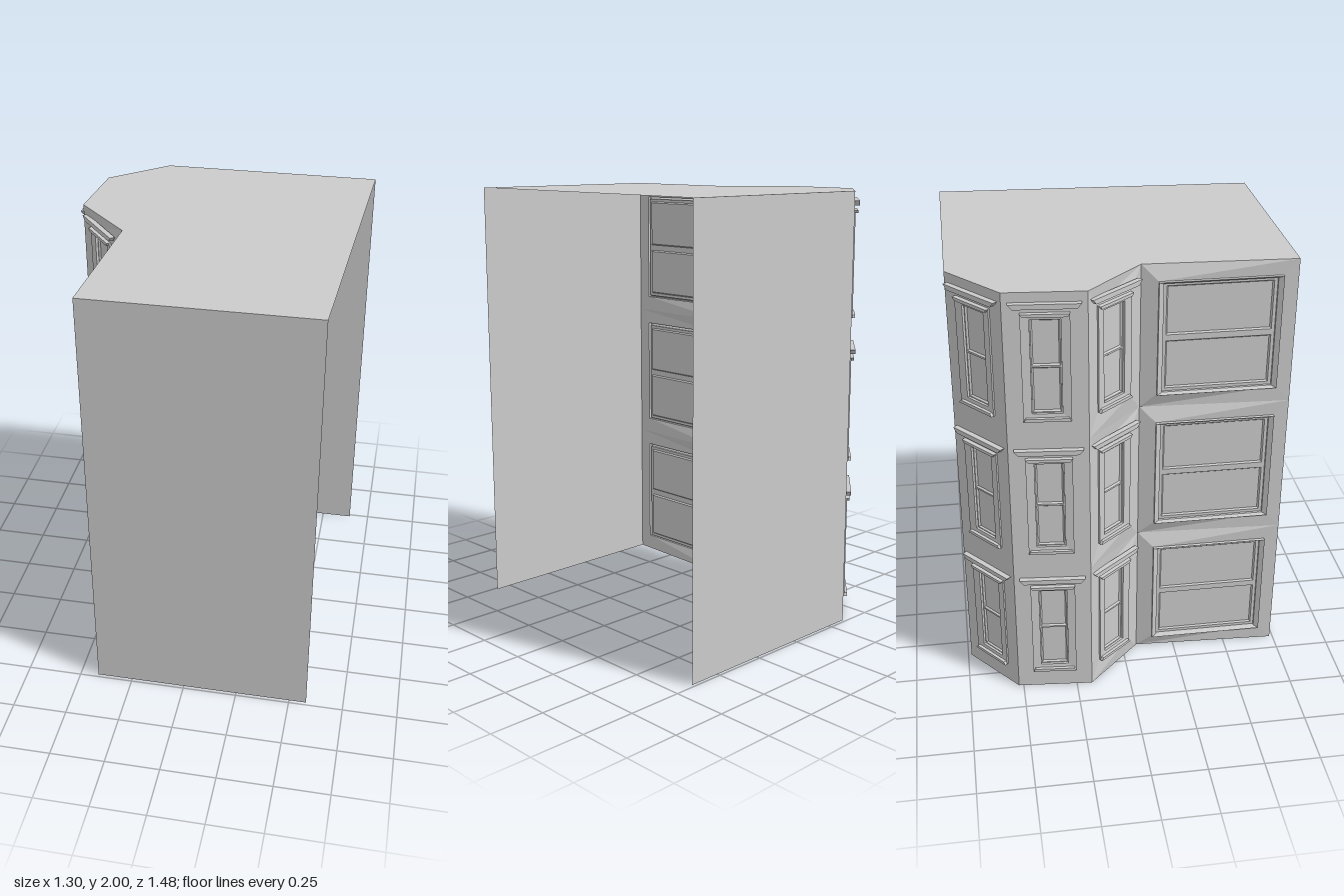
import * as THREE from 'three';

const FLOORS = 3, H = 2 / 3;
const mat = new THREE.MeshStandardMaterial({ color: 0xcccccc, flatShading: true, side: THREE.DoubleSide });

// Footprint corners as [x, z]
const P = {
  frontRight: [-0.415, 0.735], frontLeft: [0.58, 0.735], backLeft: [0.65, -0.735],
  backRight: [-0.35, -0.735], bayBack: [-0.602, -0.522], bayFront: [-0.63, -0.18], notch: [-0.385, 0.07],
};

function add(parent, geometry, name) {
  const mesh = new THREE.Mesh(geometry, mat);
  mesh.name = name;
  parent.add(mesh);
  return mesh;
}

// Four corners of an upright rectangle, counter-clockwise
const rect = (hw, y0, y1, z) => [[-hw, y0, z], [hw, y0, z], [hw, y1, z], [-hw, y1, z]];

// Bridges successive four-cornered loops, optionally closing the last one
function loft(loops, cap) {
  const pos = [];
  const quad = (a, b, c, d) => pos.push(...a, ...b, ...c, ...a, ...c, ...d);
  for (let i = 0; i + 1 < loops.length; i++) {
    for (let k = 0; k < 4; k++) {
      const n = (k + 1) % 4;
      quad(loops[i][k], loops[i][n], loops[i + 1][n], loops[i + 1][k]);
    }
  }
  if (cap) quad(...loops[loops.length - 1]);
  const g = new THREE.BufferGeometry();
  g.setAttribute('position', new THREE.Float32BufferAttribute(pos, 3));
  g.computeVertexNormals();
  return g;
}

// Moulding with tapered ends, wider at the top
function moulding(topHw, bottomHw, y0, y1, depth) {
  const s = new THREE.Shape([
    new THREE.Vector2(-bottomHw, y0), new THREE.Vector2(bottomHw, y0),
    new THREE.Vector2(topHw, y1), new THREE.Vector2(-topHw, y1),
  ]);
  return new THREE.ExtrudeGeometry(s, { depth, bevelEnabled: false });
}

// Window: raised frame and two recessed sashes with panes
function makeWindow({ hw, y0, y1, lip, fx, fy, sash }) {
  const g = new THREE.Group();
  g.name = 'window';
  const ihw = hw - fx, b = y0 + fy, t = y1 - fy, mid = (b + t) / 2;
  add(g, loft([rect(hw, y0, y1, 0), rect(hw, y0, y1, lip), rect(ihw, b, t, 0.003), rect(ihw, b, t, -0.008)]), 'windowFrame');
  for (const [lo, hi] of [[b, mid], [mid, t]]) {
    add(g, loft([
      rect(ihw, lo, hi, -0.008),
      rect(ihw - sash, lo + sash, hi - sash, -0.008),
      rect(ihw - sash - 0.006, lo + sash + 0.006, hi - sash - 0.006, -0.016),
    ], true), 'windowSash');
  }
  return g;
}

// Facade from its back end a to its front end b, with one window per storey
function makeFacade(name, a, b, centre, normal, win, ornate) {
  const g = new THREE.Group();
  g.name = name;
  const n = new THREE.Vector2(...normal).normalize();
  g.position.set(centre[0], 0, centre[1]);
  g.rotation.y = Math.atan2(n.x, n.y);
  const local = ([x, z], y) => {
    const dx = x - centre[0], dz = z - centre[1];
    return [dx * n.y - dz * n.x, y, dx * n.x + dz * n.y];
  };
  for (let i = 0; i < FLOORS; i++) {
    const storey = new THREE.Group();
    storey.name = 'storey';
    storey.position.y = i * H;
    g.add(storey);
    const outer = [local(a, 0), local(b, 0), local(b, H), local(a, H)];
    add(storey, loft([outer, rect(win.hw, win.y0, win.y1, 0)]), 'wallPanel');
    storey.add(makeWindow(win));
    if (ornate) {
      add(storey, moulding(0.147, 0.128, 0.602, 0.624, 0.024), 'cornice');
      add(storey, moulding(win.hw, win.hw - 0.01, win.y1 - 0.014, win.y1, 0.02), 'windowHead');
      add(storey, moulding(win.hw - 0.01, win.hw, win.y0, win.y0 + 0.014, 0.02), 'windowSill');
    }
  }
  return g;
}

// Plain full-height wall between two footprint corners
function plainWall([ax, az], [bx, bz]) {
  return loft([[[ax, 0, az], [bx, 0, bz], [bx, 2, bz], [ax, 2, az]]], true);
}

export function createModel() {
  const model = new THREE.Group();
  model.name = 'building';

  // Flat roof following the footprint
  const outline = Object.values(P).map(([x, z]) => new THREE.Vector2(x, -z));
  const roof = new THREE.ShapeGeometry(new THREE.Shape(outline));
  roof.rotateX(-Math.PI / 2);
  add(model, roof, 'roof').position.y = 2;

  // Blank end walls; the left side and the underside stay open
  add(model, plainWall(P.frontRight, P.frontLeft), 'frontWall');
  add(model, plainWall(P.backLeft, P.backRight), 'backWall');

  // Wide windows on the straight side, narrow ones around the bay
  const wide = { hw: 0.265, y0: 0.072, y1: 0.597, lip: 0.016, fx: 0.022, fy: 0.01, sash: 0.014 };
  const narrow = { hw: 0.1, y0: 0.096, y1: 0.58, lip: 0.008, fx: 0.037, fy: 0.03, sash: 0.004 };
  model.add(
    makeFacade('sideFacade', P.notch, P.frontRight, [-0.413, 0.405], [-1, 0], wide, false),
    makeFacade('bayFrontFacade', P.bayFront, P.notch, [-0.518, -0.061], [-0.772, 0.635], narrow, true),
    makeFacade('bayMiddleFacade', P.bayBack, P.bayFront, [-0.616, -0.351], [-0.996, -0.082], narrow, true),
    makeFacade('bayBackFacade', P.backRight, P.bayBack, [-0.475, -0.629], [-0.643, -0.766], narrow, true),
  );
  return model;
}
